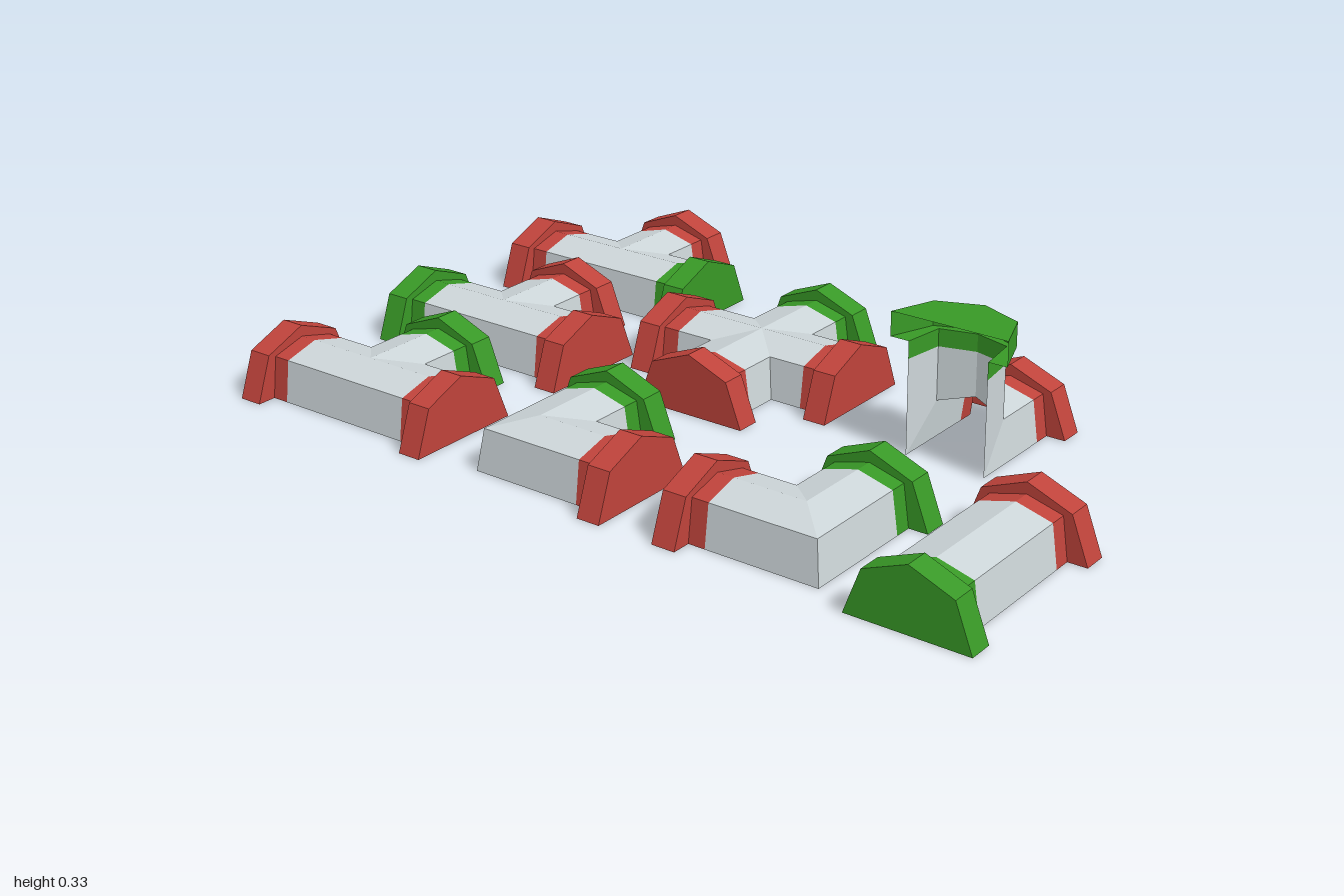
import * as THREE from 'three';

const flat = (name, color) => {
  const m = new THREE.MeshStandardMaterial({ color, side: THREE.DoubleSide, flatShading: true });
  m.name = name;
  return m;
};

// Half-pipe cross-sections as [sideways, height], from one foot over the ridge to the other
const PIPE = [[-0.1, 0], [-0.086, 0.1], [0, 0.123], [0.086, 0.1], [0.1, 0]];
const FLANGE = [[-0.147, 0], [-0.106, 0.108], [0, 0.15], [0.106, 0.108], [0.147, 0]];
const CENTRE = PIPE.map(() => [0, 0]);
const FLANGE_LENGTH = 0.059, COLLAR_LENGTH = 0.042;

// A ring is a cross-section placed along z; the distance may vary per point for mitres
const ring = (section, at) =>
  section.map(([u, h]) => new THREE.Vector3(u, h, typeof at === 'function' ? at(u, h) : at));

// Skin of flat faces through consecutive rings
function loft(name, material, rings) {
  const points = [];
  const triangle = (a, b, c) => {
    if (new THREE.Triangle(a, b, c).getArea() > 1e-7) points.push(a, b, c);
  };
  for (let r = 0; r < rings.length - 1; r++) {
    const [p, q] = [rings[r], rings[r + 1]];
    for (let i = 0; i < p.length - 1; i++) {
      triangle(p[i], q[i], q[i + 1]);
      triangle(p[i], q[i + 1], p[i + 1]);
    }
  }
  const geometry = new THREE.BufferGeometry().setFromPoints(points);
  geometry.computeVertexNormals();
  const mesh = new THREE.Mesh(geometry, material);
  mesh.name = name;
  return mesh;
}

export function createModel() {
  const grey = flat('pipe grey', 0xccd5d8);
  const red = flat('end red', 0xbf433b);
  const green = flat('end green', 0x389826);
  const model = new THREE.Group();
  model.name = 'pipeSet';

  // One arm along +z: mitred grey pipe, coloured collar and closed flange
  function makeArm(length, start, color) {
    const arm = new THREE.Group();
    arm.name = 'arm';
    const flangeAt = length - FLANGE_LENGTH, collarAt = flangeAt - COLLAR_LENGTH;
    arm.add(
      loft('pipe', grey, [ring(PIPE, start), ring(PIPE, collarAt)]),
      loft('endFitting', color, [
        ring(PIPE, collarAt), ring(PIPE, flangeAt), ring(FLANGE, flangeAt),
        ring(FLANGE, length), ring(CENTRE, length),
      ]),
    );
    return arm;
  }

  // Floor piece; ends lists the colours towards [front, +x, back, -x]
  function addPiece(name, x, z, ends, length = 0.283) {
    const piece = new THREE.Group();
    piece.name = name;
    piece.position.set(x, 0, z);
    ends.forEach((color, k) => {
      if (!color) return;
      // Inner corners cut back, straight runs meet midway, outer corners run on
      const start = (u) => {
        if (ends[(k + (u > 0 ? 1 : 3)) % 4]) return Math.abs(u);
        return ends[(k + 2) % 4] ? 0 : -Math.abs(u);
      };
      const arm = makeArm(length, start, color);
      arm.rotation.y = k * Math.PI / 2;
      piece.add(arm);
    });
    model.add(piece);
  }

  addPiece('backTee', -0.715, -0.395, [null, green, red, red]);
  addPiece('middleTee', -0.715, 0.057, [null, red, red, green]);
  addPiece('frontTee', -0.715, 0.509, [null, red, green, red]);
  addPiece('cross', -0.101, -0.169, [red, red, green, red]);
  addPiece('elbowOne', -0.191, 0.52, [null, red, green, null]);
  addPiece('elbowTwo', 0.515, 0.52, [null, null, green, red]);
  addPiece('straight', 0.852, 0.422, [green, null, red, null], 0.249);

  // Wall bend: one arm along the floor, one up the wall plane, mitred at 45 degrees
  const bend = new THREE.Group();
  bend.name = 'wallBend';
  bend.position.set(0.516, 0, 0);
  const mitre = (u, h) => h;
  const floorArm = makeArm(0.331, mitre, red);
  floorArm.rotation.y = Math.PI;
  const wallArm = makeArm(0.331, mitre, green);
  wallArm.rotation.x = -Math.PI / 2;
  bend.add(floorArm, wallArm);
  model.add(bend);

  return model;
}
